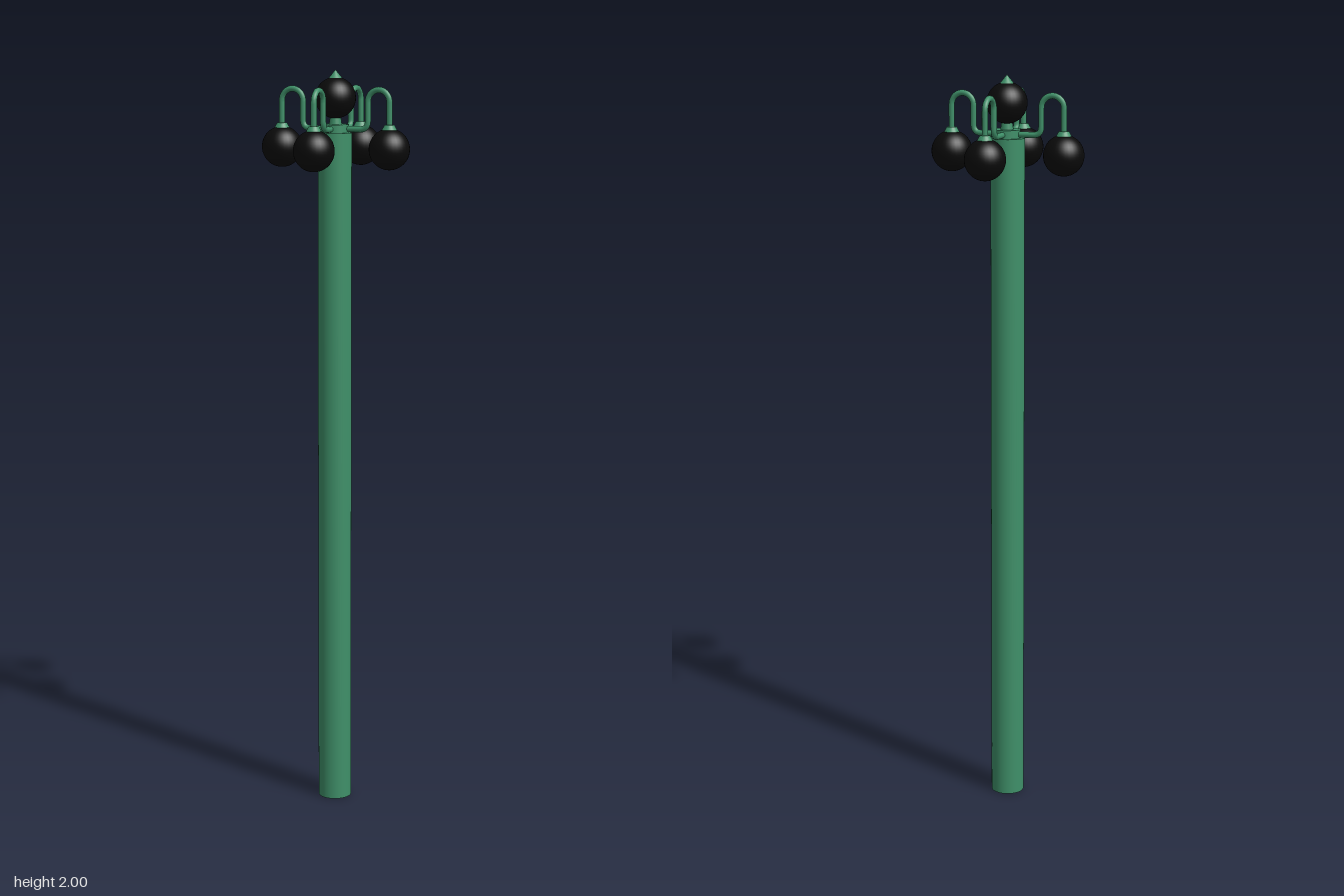
import * as THREE from 'three';

const green = new THREE.MeshStandardMaterial({ color: 0x3f9069 });
const black = new THREE.MeshStandardMaterial({ color: 0x0a0a0a });
const GLOBE = 0.054;

function add(parent, name, geometry, material, x = 0, y = 0, z = 0) {
  const mesh = new THREE.Mesh(geometry, material);
  mesh.name = name;
  mesh.position.set(x, y, z);
  parent.add(mesh);
  return mesh;
}

// Swan-neck path: out from the hub, up, over a half circle and down to the lamp
function armPath(reach, skew) {
  const arch = 0.031, inner = reach - 2 * arch, base = 1.846, top = 1.918, bend = 0.022;
  const at = (r, y) => new THREE.Vector3(r, y, skew * r / reach);
  const path = new THREE.CurvePath();
  path.add(new THREE.LineCurve3(at(0, base), at(inner - bend, base)));
  path.add(new THREE.QuadraticBezierCurve3(at(inner - bend, base), at(inner, base), at(inner, base + bend)));
  path.add(new THREE.LineCurve3(at(inner, base + bend), at(inner, top)));
  const arc = [];
  for (let i = 0; i <= 10; i++) {
    const a = Math.PI * (1 - i / 10);
    arc.push(at(inner + arch + arch * Math.cos(a), top + arch * Math.sin(a)));
  }
  path.add(new THREE.CatmullRomCurve3(arc));
  path.add(new THREE.LineCurve3(at(reach, top), at(reach, 1.845)));
  return path;
}

// One arm with its cap and hanging globe
function lampArm(name, angle, reach, skew) {
  const arm = new THREE.Group();
  arm.name = name;
  arm.rotation.y = angle;
  add(arm, 'swanNeck', new THREE.TubeGeometry(armPath(reach, skew), 72, 0.008, 10), green);
  add(arm, 'lampCap', new THREE.CylinderGeometry(0.013, 0.022, 0.016, 24), green, reach, 1.851, skew);
  add(arm, 'globe', new THREE.SphereGeometry(GLOBE, 32, 24), black, reach, 1.796, skew);
  return arm;
}

export function createModel() {
  const model = new THREE.Group();
  model.name = 'streetLamp';

  // Post and hub
  add(model, 'post', new THREE.CylinderGeometry(0.045, 0.045, 1.836, 40), green, -0.002, 0.918, 0.004);
  add(model, 'hub', new THREE.CylinderGeometry(0.036, 0.036, 0.024, 32), green, 0, 1.846, 0.004);
  add(model, 'stem', new THREE.CylinderGeometry(0.012, 0.018, 0.04, 20), green, 0, 1.872, 0.004);

  // Top globe with pointed finial
  add(model, 'topGlobe', new THREE.SphereGeometry(GLOBE, 32, 24), black, 0, 1.927, 0.004);
  add(model, 'finial', new THREE.ConeGeometry(0.021, 0.026, 24), green, 0, 1.987, 0.004);

  // Four arms around the hub
  const arms = new THREE.Group();
  arms.name = 'arms';
  arms.position.set(0, 0, 0.002);
  arms.add(
    lampArm('leftArm', 0, 0.155, 0.002),
    lampArm('backArm', Math.PI / 2, 0.154, 0.003),
    lampArm('rightArm', Math.PI, 0.157, -0.002),
    lampArm('frontArm', -Math.PI / 2, 0.147, -0.006),
  );
  model.add(arms);
  return model;
}
